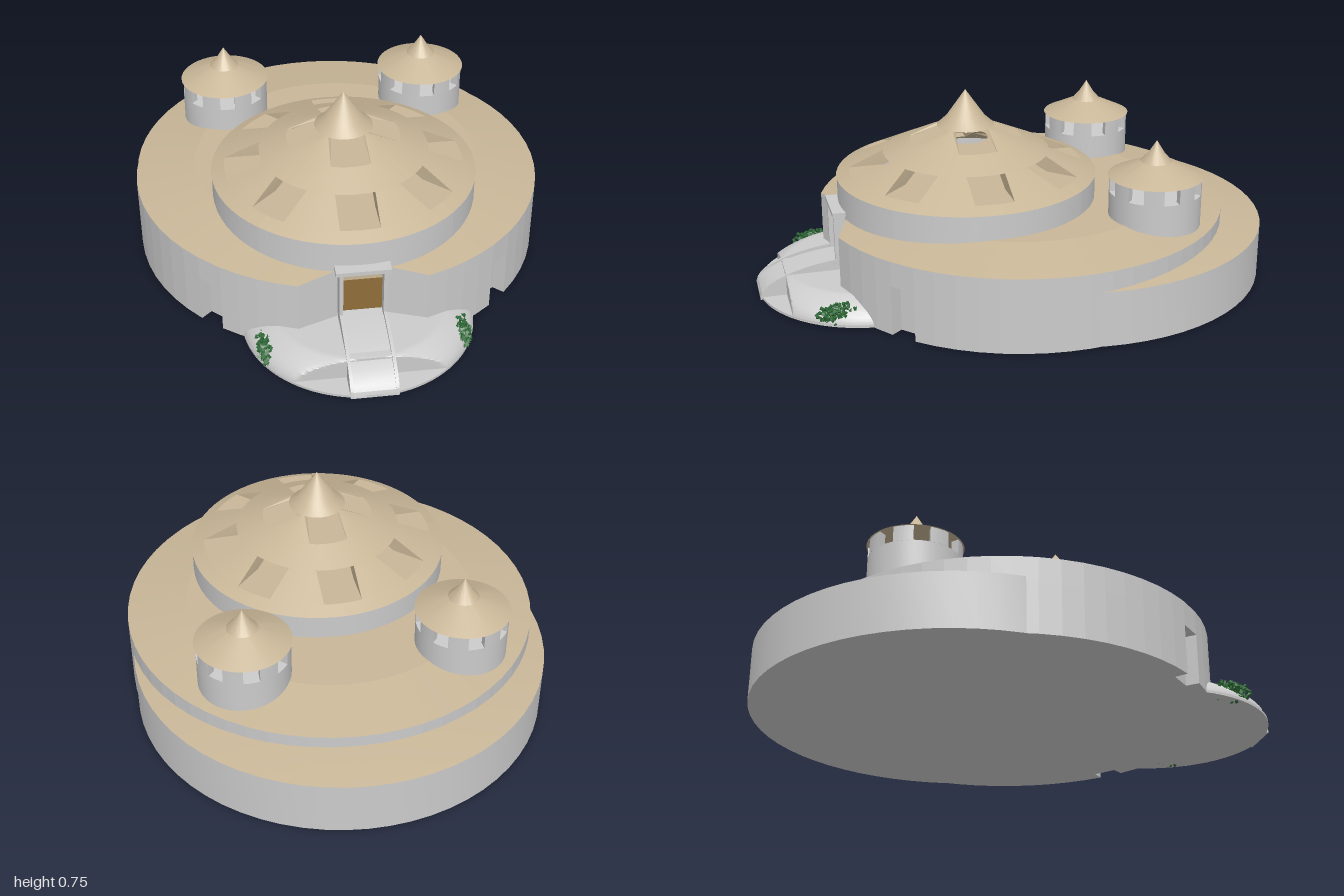
import * as THREE from 'three';
import { mergeGeometries, toCreasedNormals } from 'three/addons/utils/BufferGeometryUtils.js';

const mat = (color) => new THREE.MeshStandardMaterial({ color, side: THREE.DoubleSide });
const stone = mat(0xcccccc), clay = mat(0xc8b697), wood = mat(0x8f6d38), leaf = mat(0x2f6b38);
const { sin, cos, PI } = Math;
const lerp = THREE.MathUtils.lerp;

function add(parent, name, geo, material, x = 0, y = 0, z = 0) {
  const m = new THREE.Mesh(geo, material);
  m.name = name;
  m.position.set(x, y, z);
  parent.add(m);
  return m;
}

// Ring of n curved blocks with gaps of constant half-width w between them (w = 0: closed ring).
// Wall runs from [r0, y0] to [r1, y1] and is t thick horizontally.
function band(n, w, [r0, y0], [r1, y1], t) {
  const blocks = [];
  const half = (r) => PI / n - Math.asin(Math.min(sin(PI / n) * 0.97, w / r));
  for (let i = 0; i < n; i++) {
    const g = new THREE.BoxGeometry(1, 1, 1, 64 / n, 1, 1), p = g.attributes.position;
    const mid = ((i + 0.5) / n) * 2 * PI;
    for (let k = 0; k < p.count; k++) {
      const v = p.getY(k) + 0.5;
      const r = Math.max(0.01, lerp(r0, r1, v) - (0.5 - p.getZ(k)) * t);
      const a = mid + 2 * p.getX(k) * half(r);
      p.setXYZ(k, r * sin(a), lerp(y0, y1, v), r * cos(a));
    }
    g.computeVertexNormals();
    blocks.push(g);
  }
  return mergeGeometries(blocks);
}

const lathe = (pts, seg = 48) =>
  toCreasedNormals(new THREE.LatheGeometry(pts.map((p) => new THREE.Vector2(...p)), seg), 0.35);

// Main plan outline: a circle with a splayed entrance cut and optional side-door notches
const R = 0.79, CZ = -0.04;
function plan(notched) {
  const pts = [], put = (a, r) => pts.push([r * sin(a), CZ + r * cos(a)]);
  const arc = (a, b, n) => { for (let i = 0; i <= n; i++) put(lerp(a, b, i / n), R); };
  const start = Math.asin(0.235 / R), d0 = 0.687, d1 = 0.813;
  const notch = (a, b) => { if (notched) { put(a, R - 0.05); put(b, R - 0.05); } };
  arc(start, d0, 4);
  notch(d0, d1);
  arc(d1, 2 * PI - d1, 46);
  notch(2 * PI - d1, 2 * PI - d0);
  arc(2 * PI - d0, 2 * PI - start, 4);
  pts.push([-0.085, 0.66], [0.085, 0.66]);
  return pts;
}

function storey(pts, y0, y1) {
  const shape = new THREE.Shape(pts.map(([x, z]) => new THREE.Vector2(x, -z)));
  return new THREE.ExtrudeGeometry(shape, { depth: y1 - y0, bevelEnabled: false })
    .rotateX(-PI / 2).translate(0, y0, 0);
}

// Surface joining successive closed loops of points
function loft(loops) {
  const v = [];
  for (let l = 0; l + 1 < loops.length; l++) {
    const A = loops[l], B = loops[l + 1];
    A.forEach((a, i) => {
      const j = (i + 1) % A.length;
      v.push(...a, ...A[j], ...B[j], ...a, ...B[j], ...B[i]);
    });
  }
  const g = new THREE.BufferGeometry();
  g.setAttribute('position', new THREE.Float32BufferAttribute(v, 3));
  return toCreasedNormals(g, 0.15);
}

function addBody(root) {
  const outline = plan(false);
  add(root, 'lowerWall', storey(plan(true), 0.01, 0.2), stone);
  add(root, 'upperWall', storey(outline, 0.2, 0.29), stone);
  const eave = outline.map(([x, z]) => [x, 0.335 - 0.174 * (Math.hypot(x, z - CZ) - 0.56), z]);
  const inner = outline.map(([x, z]) => {
    const a = Math.atan2(x, z - CZ);
    return [0.56 * sin(a), 0.335, CZ + 0.56 * cos(a)];
  });
  add(root, 'wallTop', loft([outline.map(([x, z]) => [x, 0.29, z]), eave]), stone);
  add(root, 'mainRoof', loft([eave, inner, inner.map(() => [0, 0.335, CZ])]), clay);
  // Lower rear terrace
  add(root, 'terraceWall', lathe([[0, 0.01], [R, 0.01], [R, 0.22]], 64), stone, 0, 0, -0.21);
  add(root, 'terraceRoof', lathe([[R, 0.22], [0.5, 0.271], [0, 0.271]], 64), clay, 0, 0, -0.21);
}

// Central dome: drum, skylit conical roof shell and pointed cap
function addDome(root) {
  const dome = new THREE.Group();
  dome.name = 'centralDome';
  dome.position.z = 0.175;
  root.add(dome);
  const at = (r) => [r, 0.43 + 0.46 * (0.5 - r)];
  add(dome, 'drum', band(8, 0, [0.5, 0.3], [0.5, 0.43], 0.03), stone);
  add(dome, 'roofEdge', band(8, 0, at(0.502), at(0.452), 0.13), clay);
  add(dome, 'lowerSkylights', band(8, 0.073, at(0.452), at(0.32), 0.13), clay);
  add(dome, 'roofRing', band(8, 0, at(0.32), at(0.215), 0.13), clay);
  add(dome, 'upperSkylights', band(4, 0.073, at(0.215), at(0.1), 0.02), clay);
  add(dome, 'cap', lathe([[0, 0.613], [0.11, 0.613], [0.075, 0.645], [0, 0.752]], 32), clay);
}

function addTower(root, side) {
  const tower = new THREE.Group();
  tower.name = side > 0 ? 'leftTower' : 'rightTower';
  tower.position.set(side * 0.41, 0, -0.45);
  root.add(tower);
  add(tower, 'wall', lathe([[0.172, 0.25], [0.172, 0.43], [0, 0.43]], 40), stone);
  add(tower, 'windowPosts', band(8, 0.03, [0.172, 0.43], [0.172, 0.49], 0.03), stone);
  add(tower, 'roof', lathe([[0, 0.489], [0.178, 0.489], [0.058, 0.545], [0.03, 0.577], [0, 0.625]], 40), clay);
}

function addEntrance(root) {
  // Flattened forecourt mound, cut level on top and upright in front
  const g = new THREE.SphereGeometry(0.43, 128, 48, 0, 2 * PI, 0, PI / 2), p = g.attributes.position;
  for (let i = 0; i < p.count; i++) {
    p.setXYZ(i, p.getX(i), Math.min(0.1, 0.01 + p.getY(i) * 0.14 / 0.43), Math.min(0.33, p.getZ(i)));
  }
  add(root, 'forecourt', toCreasedNormals(g, 0.5), stone, 0, 0, 0.57);
  add(root, 'forecourtBase', new THREE.CylinderGeometry(0.43, 0.43, 0.01, 96), stone, 0, 0.015, 0.57);

  // Ramp and its curbs share a side profile
  const slope = (name, width, x, lift) => {
    const s = new THREE.Shape();
    s.moveTo(0.6, 0.01);
    for (let i = 0; i <= 12; i++) {
      const a = PI / 2 - (i / 12) * (PI / 2 - 0.05);
      s.lineTo(0.57 + 0.43 * cos(a) + (i ? 0 : 0.03), 0.01 + (0.125 + lift) * sin(a));
    }
    s.lineTo(1, 0.01);
    const geo = new THREE.ExtrudeGeometry(s, { depth: width, bevelEnabled: false })
      .rotateY(-PI / 2).translate(width / 2, 0, 0);
    add(root, name, toCreasedNormals(geo, 0.3), stone, x);
  };
  slope('ramp', 0.15, 0, 0);
  for (const s of [-1, 1]) {
    slope('rampCurb', 0.012, s * 0.08, 0.015);
    add(root, 'doorPost', new THREE.BoxGeometry(0.014, 0.2, 0.05), stone, s * 0.08, 0.22, 0.685);
  }
  add(root, 'lintel', new THREE.BoxGeometry(0.2, 0.016, 0.05), stone, 0, 0.328, 0.69);
  add(root, 'door', new THREE.BoxGeometry(0.148, 0.14, 0.02), wood, 0, 0.2, 0.662);
  add(root, 'doorHead', new THREE.BoxGeometry(0.148, 0.05, 0.02), clay, 0, 0.295, 0.662);
}

// Shrub of small pointed leaves scattered through an ellipsoid
function shrub() {
  let seed = 7;
  const rnd = () => (seed = (seed * 16807) % 2147483647) / 2147483647;
  const leaves = [];
  for (let i = 0; i < 170; i++) {
    const a = rnd() * 2 * PI, c = rnd() * 2 - 1, r = Math.sqrt(1 - c * c), k = 0.6 + 0.4 * rnd();
    leaves.push(new THREE.ConeGeometry(0.008, 0.028, 4)
      .rotateX(rnd() * PI).rotateY(rnd() * 2 * PI)
      .translate(0.024 * r * cos(a) * k, 0.036 * r * sin(a) * k, 0.09 * c * k));
  }
  return toCreasedNormals(mergeGeometries(leaves), 0.1);
}

export function createModel() {
  const root = new THREE.Group();
  root.name = 'roundHall';
  addBody(root);
  addDome(root);
  addEntrance(root);
  const bush = shrub();
  for (const s of [-1, 1]) {
    addTower(root, s);
    add(root, 'shrub', bush, leaf, s * 0.36, 0.05, 0.73);
  }
  return root;
}
